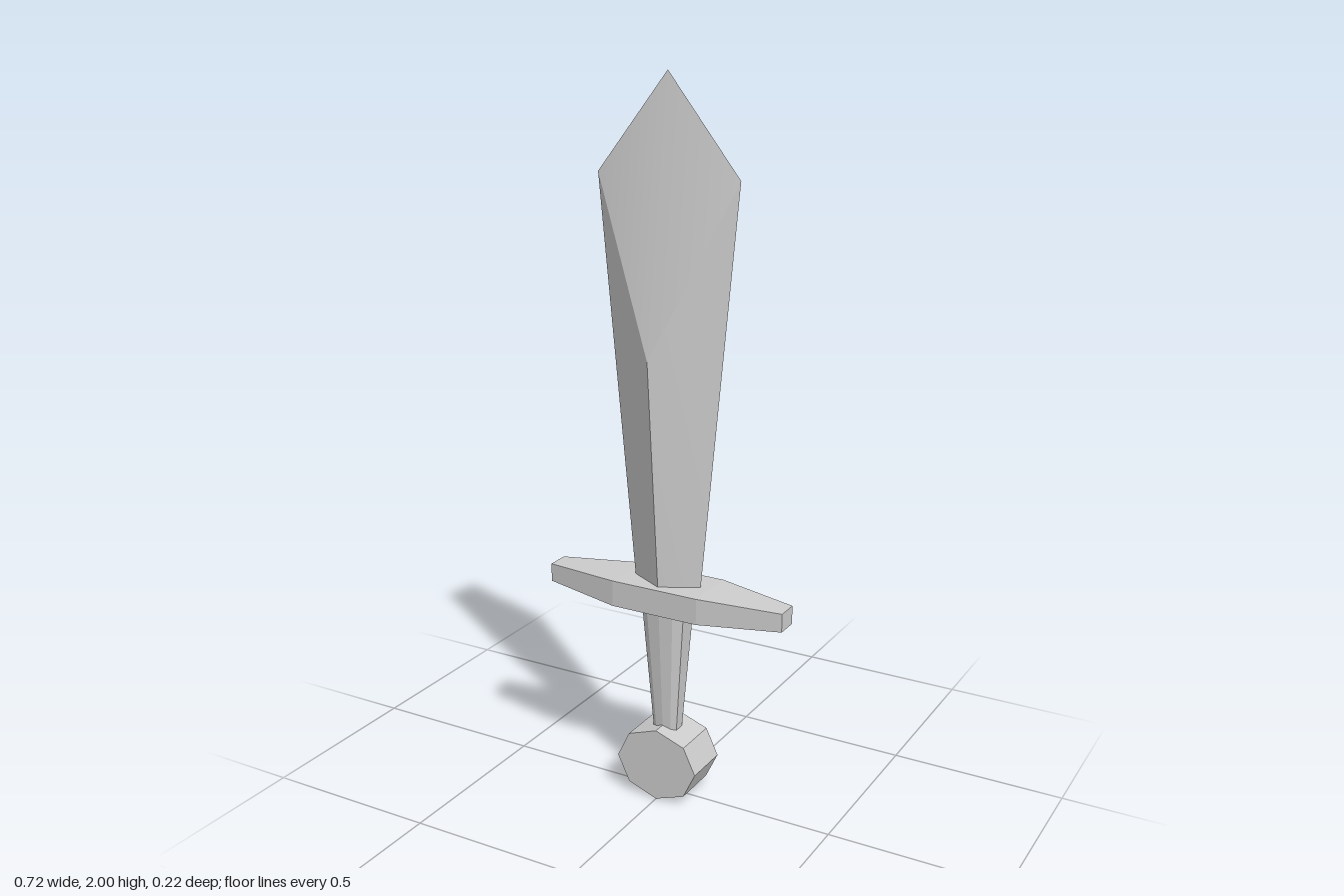
import * as THREE from 'three';
import { mergeGeometries } from 'three/addons/utils/BufferGeometryUtils.js';

const steel = new THREE.MeshStandardMaterial({ color: 0xcccccc });
steel.name = 'steel grey';

// Flat facets without changing the shared material
function faceted(geometry) {
  const g = geometry.toNonIndexed();
  g.computeVertexNormals();
  return g;
}

// Moves every vertex of a geometry by a rule
function reshape(geometry, rule) {
  const p = geometry.attributes.position;
  const v = new THREE.Vector3();
  for (let i = 0; i < p.count; i++) {
    rule(v.fromBufferAttribute(p, i));
    p.setXYZ(i, v.x, v.y, v.z);
  }
  return geometry;
}

// One four-cornered facet, softly shaded across its diagonal 0-2
function facet(...corners) {
  const g = new THREE.BufferGeometry();
  g.setAttribute('position', new THREE.Float32BufferAttribute(corners.flat(), 3));
  g.setIndex([0, 1, 2, 0, 2, 3]);
  g.computeVertexNormals();
  return g;
}

// Diamond-section blade that widens towards the point
function bladeGeometry() {
  const tip = [0, 2, 0];
  const parts = [];
  for (const s of [1, -1]) {
    const left = [-0.207 * s, 1.74, 0], right = [0.207 * s, 1.74, 0];
    const ridge = [0, 1.28, 0.108 * s], root = [0, 0.62, 0.054 * s];
    const rootL = [-0.1 * s, 0.62, 0], rootR = [0.1 * s, 0.62, 0];
    parts.push(
      facet(tip, left, ridge, right),
      facet(ridge, left, rootL, root),
      facet(ridge, root, rootR, right)
    );
  }
  return mergeGeometries(parts);
}

// Cross guard: thick in the middle, tapering to both ends
function guardGeometry() {
  const g = new THREE.BoxGeometry(0.72, 1, 1, 3, 1, 1);
  reshape(g, (v) => {
    const end = Math.abs(v.x) > 0.3;
    v.x = Math.sign(v.x) * (end ? 0.361 : 0.13);
    v.y = 0.605 + v.y * (end ? 0.052 : 0.074);
    v.z *= end ? 0.064 : 0.157;
  });
  return faceted(g);
}

// Ten-sided grip with flattened sides, narrowing downwards
function gripGeometry() {
  const g = new THREE.CylinderGeometry(1, 1, 0.41, 10);
  reshape(g, (v) => {
    const k = v.y > 0 ? 1 : 0.53;
    v.x *= 0.071 * k;
    v.z = Math.abs(v.z) < 1e-6 ? 0 : Math.sign(v.z) * Math.sqrt(Math.abs(v.z)) * 0.054 * k;
    v.y += 0.395;
  });
  return faceted(g);
}

// Eight-sided disc pommel facing front and back
function pommelGeometry() {
  const g = new THREE.CylinderGeometry(1, 1, 0.136, 8);
  g.rotateX(Math.PI / 2);
  g.scale(0.124, 0.107, 1);
  g.translate(0, 0.107, 0);
  return faceted(g);
}

export function createModel() {
  const sword = new THREE.Group();
  sword.name = 'sword';
  const add = (name, geometry) => {
    const mesh = new THREE.Mesh(geometry, steel);
    mesh.name = name;
    sword.add(mesh);
  };
  add('blade', bladeGeometry());
  add('crossGuard', guardGeometry());
  add('grip', gripGeometry());
  add('pommel', pommelGeometry());
  return sword;
}
